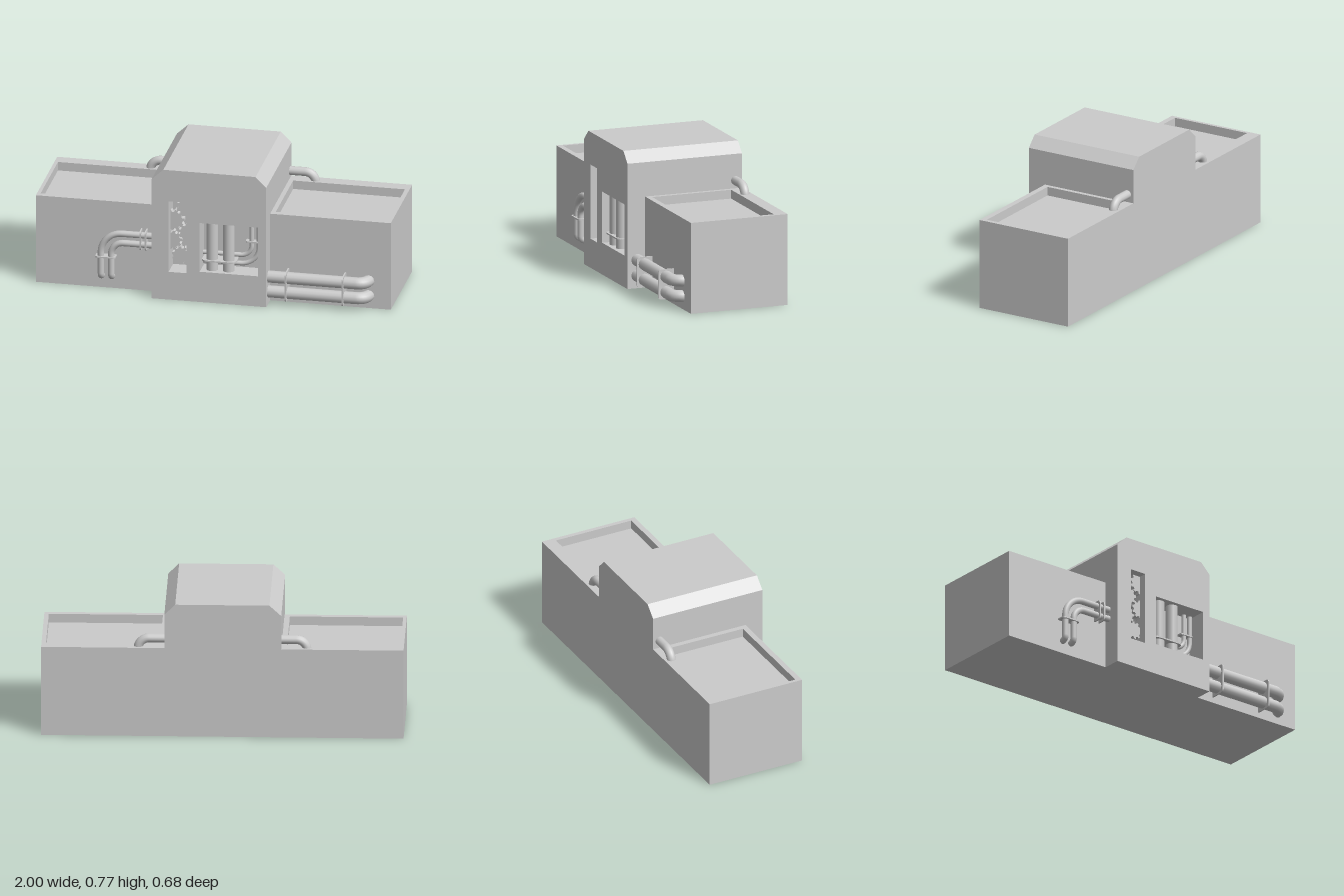
import * as THREE from 'three';

const material = new THREE.MeshStandardMaterial({ color: 0xcccccc });
const V = (x, y, z) => new THREE.Vector3(x, y, z);

function add(parent, name, geometry, x = 0, y = 0, z = 0) {
  const mesh = new THREE.Mesh(geometry, material);
  mesh.name = name;
  mesh.position.set(x, y, z);
  parent.add(mesh);
  return mesh;
}

const extrude = (shape, depth) =>
  new THREE.ExtrudeGeometry(shape, { depth, bevelEnabled: false, curveSegments: 6 });

const polygon = (points) => new THREE.Shape(points.map(([x, y]) => new THREE.Vector2(x, y)));

const rect = (x0, x1, y0, y1) => polygon([[x0, y0], [x1, y0], [x1, y1], [x0, y1]]);

// Pipe along straight runs with rounded corners
function pipe(parent, name, points, radius, bend) {
  const path = new THREE.CurvePath();
  let from = points[0];
  for (let i = 1; i < points.length - 1; i++) {
    const p = points[i];
    const toward = (q) => q.clone().sub(p).setLength(bend).add(p);
    const a = toward(points[i - 1]), b = toward(points[i + 1]);
    path.add(new THREE.LineCurve3(from, a));
    const k = 0.5523; // quarter-circle handle length
    path.add(new THREE.CubicBezierCurve3(a, a.clone().lerp(p, k), b.clone().lerp(p, k), b));
    from = b;
  }
  path.add(new THREE.LineCurve3(from, points[points.length - 1]));
  return add(parent, name, new THREE.TubeGeometry(path, 64, radius, 12), 0, 0, 0);
}

// Thin clamp plate with rounded corners, centred on the origin and facing z
function clampPlate(w, h, r, thickness = 0.008) {
  const s = new THREE.Shape();
  const x = w / 2, y = h / 2;
  s.moveTo(-x + r, -y);
  s.lineTo(x - r, -y).quadraticCurveTo(x, -y, x, -y + r);
  s.lineTo(x, y - r).quadraticCurveTo(x, y, x - r, y);
  s.lineTo(-x + r, y).quadraticCurveTo(-x, y, -x, y - r);
  s.lineTo(-x, -y + r).quadraticCurveTo(-x, -y, -x + r, -y);
  return extrude(s, thickness).translate(0, 0, -thickness / 2);
}

function gearGeometry(radius, teeth, depth) {
  const points = [];
  for (let i = 0; i < teeth; i++) {
    for (const [t, r] of [[0, 0.8], [0.4, 0.8], [0.52, 1], [0.88, 1]]) {
      const a = ((i + t) / teeth) * Math.PI * 2;
      points.push([Math.cos(a) * radius * r, Math.sin(a) * radius * r]);
    }
  }
  return extrude(polygon(points), depth);
}

export function createModel() {
  const model = new THREE.Group();
  model.name = 'factoryBuilding';

  // Central block: solid rear and a front wall with two openings
  const profile = () => polygon([
    [-0.325, 0], [0.32, 0], [0.32, 0.71], [0.26, 0.77], [-0.26, 0.77], [-0.325, 0.71],
  ]);
  const centre = new THREE.Group();
  centre.name = 'centralBlock';
  model.add(centre);
  add(centre, 'centralBody', extrude(profile(), 0.56), 0, 0, -0.34);
  const wall = profile();
  wall.holes.push(rect(-0.23, -0.13, 0.165, 0.585), rect(-0.055, 0.275, 0.18, 0.47));
  add(centre, 'frontWall', extrude(wall, 0.12), 0, 0, 0.22);

  // Side wings with a raised rim around a sunken roof
  for (const [name, x0, x1, in0, in1] of [
    ['right', -1, -0.325, -0.98, -0.355],
    ['left', 0.32, 1, 0.345, 0.975],
  ]) {
    const wing = new THREE.Group();
    wing.name = name + 'Wing';
    model.add(wing);
    add(wing, 'wingBody', new THREE.BoxGeometry(x1 - x0, 0.465, 0.575), (x0 + x1) / 2, 0.2325, -0.0525);
    const rim = rect(x0, x1, -0.235, 0.34);
    rim.holes.push(rect(in0, in1, -0.203, 0.266));
    add(wing, 'roofRim', extrude(rim, 0.05).rotateX(-Math.PI / 2), 0, 0.465, 0);
  }

  // Gears in the narrow slot
  const gears = new THREE.Group();
  gears.name = 'gearTrain';
  model.add(gears);
  [[-0.17, 0.25, 0.052], [-0.222, 0.335, 0.056], [-0.13, 0.385, 0.055],
    [-0.212, 0.455, 0.06], [-0.135, 0.54, 0.062]].forEach(([x, y, r], i) => {
    const gear = add(gears, 'gear', gearGeometry(r, 10, 0.035), x, y, i % 2 ? 0.252 : 0.258);
    gear.rotation.z = i * 0.3;
  });

  // Pipes in the wide window
  const inner = new THREE.Group();
  inner.name = 'windowPipes';
  model.add(inner);
  for (const x of [0.005, 0.098]) {
    add(inner, 'verticalPipe', new THREE.CylinderGeometry(0.033, 0.033, 0.31, 16), x, 0.325, 0.285);
  }
  for (const [x, y, bend] of [[0.218, 0.26, 0.06], [0.258, 0.21, 0.1]]) {
    pipe(inner, 'curvedPipe', [V(-0.07, y, 0.24), V(x, y, 0.24), V(x, 0.48, 0.24)], 0.013, bend);
  }
  add(inner, 'wideClamp', clampPlate(0.195, 0.11, 0.035).rotateX(Math.PI / 2), 0.0475, 0.24, 0.272);
  add(inner, 'smallClamp', clampPlate(0.085, 0.05, 0.015).rotateX(Math.PI / 2), 0.228, 0.345, 0.235);

  // Large horizontal pipes on the left wing
  const large = new THREE.Group();
  large.name = 'largePipes';
  model.add(large);
  for (const y of [0.073, 0.161]) {
    pipe(large, 'largePipe', [V(0.3, y, 0.283), V(0.874, y, 0.283), V(0.874, y, 0.21)], 0.034, 0.06);
  }
  for (const x of [0.425, 0.745]) {
    add(large, 'largeClamp', clampPlate(0.11, 0.17, 0.02).rotateY(Math.PI / 2), x, 0.117, 0.273);
  }

  // Thin elbow pipes on the right wing
  const thin = new THREE.Group();
  thin.name = 'thinPipes';
  model.add(thin);
  for (const [x, y, bend] of [[-0.628, 0.338, 0.12], [-0.57, 0.283, 0.07]]) {
    const z = 0.262;
    const run = pipe(thin, 'elbowPipe', [V(-0.3, y, z), V(x, y, z), V(x, 0.1, z)], 0.018, bend);
    run.name = 'elbowPipe';
    // Lower end turns back into the wall
    pipe(thin, 'pipeEnd', [V(x, 0.11, z), V(x, 0.073, z), V(x, 0.073, 0.21)], 0.018, 0.025);
  }
  for (const x of [-0.402, -0.372]) {
    add(thin, 'sideClamp', clampPlate(0.07, 0.115, 0.02).rotateY(Math.PI / 2), x, 0.311, 0.252);
  }
  add(thin, 'lowerClamp', clampPlate(0.115, 0.07, 0.02).rotateX(Math.PI / 2), -0.6, 0.197, 0.252);

  // Roof pipes joining the central block to each wing
  for (const s of [-1, 1]) {
    pipe(model, s < 0 ? 'rightRoofPipe' : 'leftRoofPipe',
      [V(s * 0.3, 0.56, -0.3), V(s * 0.466, 0.56, -0.3), V(s * 0.466, 0.48, -0.3)], 0.025, 0.06);
  }

  return model;
}
